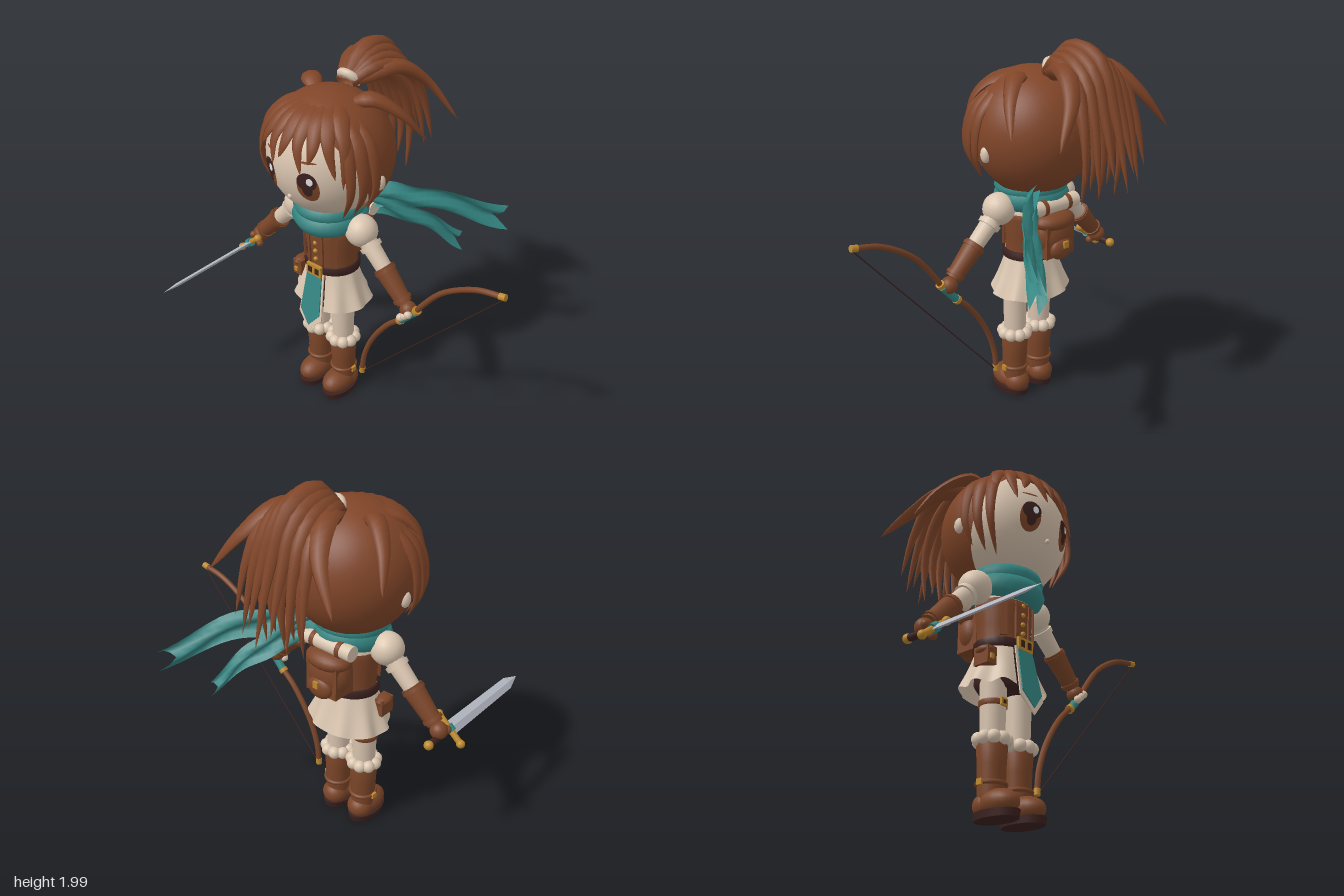
import * as THREE from 'three';

const V = (x, y, z) => new THREE.Vector3(x, y, z);
const mat = (name, color, double) => {
  const m = new THREE.MeshStandardMaterial({ color });
  m.name = name;
  if (double) m.side = THREE.DoubleSide;
  return m;
};

export function createModel() {
  const hair = mat('hair brown', 0x804528, true), leather = mat('leather brown', 0x7b4528);
  const skin = mat('skin', 0xd8c3ae), cream = mat('cream cloth', 0xdac6b0, true);
  const teal = mat('teal cloth', 0x348683, true), gold = mat('gold', 0xbd882c);
  const steel = mat('steel', 0xb4b8c2), dark = mat('dark brown', 0x3b211f), white = mat('white', 0xf4f4f8);

  const root = new THREE.Group();
  root.name = 'archer';
  const body = new THREE.Group();
  body.name = 'figure';
  body.position.x = -0.23;
  root.add(body);

  const add = (name, geo, m, p = [0, 0, 0], parent = body) => {
    const mesh = new THREE.Mesh(geo, m);
    mesh.name = name;
    mesh.position.set(...p);
    parent.add(mesh);
    return mesh;
  };
  const ball = (name, r, m, p, s = [1, 1, 1], parent = body) => {
    const b = add(name, new THREE.SphereGeometry(r, 20, 14), m, p, parent);
    b.scale.set(...s);
    return b;
  };
  const box = (name, s, m, p, parent = body) => add(name, new THREE.BoxGeometry(...s), m, p, parent);
  const lathe = (name, pts, m, p, parent) =>
    add(name, new THREE.LatheGeometry(pts.map(q => new THREE.Vector2(...q)), 28), m, p, parent);
  const ring = (name, r, t, m, p, parent) =>
    add(name, new THREE.TorusGeometry(r, t, 8, 28).rotateX(Math.PI / 2), m, p, parent);
  // tapered cylinder from a to b
  const limb = (name, a, b, r0, r1, m, parent = body, sides = 16) => {
    const d = b.clone().sub(a);
    const c = add(name, new THREE.CylinderGeometry(r1, r0, d.length(), sides), m, a.clone().lerp(b, 0.5).toArray(), parent);
    c.quaternion.setFromUnitVectors(V(0, 1, 0), d.normalize());
    return c;
  };

  // ---------- head ----------
  const C = V(0, 1.5, 0), R = 0.315;
  ball('head', R, skin, C.toArray()).geometry = new THREE.SphereGeometry(R, 40, 28);
  const onHead = (az, el, r) => {
    const a = az * Math.PI / 180, e = el * Math.PI / 180;
    return V(Math.sin(a) * Math.cos(e) * r, C.y + Math.sin(e) * r, Math.cos(a) * Math.cos(e) * r);
  };
  // thin painted ellipse wrapped on the face
  const patch = (name, x, y, rx, ry, m, lift) => {
    const g = new THREE.RingGeometry(0, 1, 28, 4), q = g.attributes.position;
    for (let i = 0; i < q.count; i++) {
      const px = x + q.getX(i) * rx, py = y + q.getY(i) * ry;
      q.setXYZ(i, px, C.y + py, Math.sqrt(R * R - px * px - py * py) + lift);
    }
    g.computeVertexNormals();
    add(name, g, m);
  };
  for (const s of [-1, 1]) {
    patch('eyeIris', s * 0.122, -0.045, 0.052, 0.08, leather, 0.003);
    patch('eyeUpper', s * 0.12, -0.012, 0.047, 0.048, dark, 0.005);
    patch('eyePupil', s * 0.12, -0.055, 0.024, 0.04, dark, 0.005);
    patch('eyeHighlight', s * 0.12 + 0.016, -0.008, 0.015, 0.02, white, 0.007);
    patch('eyebrow', s * 0.12, 0.085, 0.04, 0.006, hair, 0.004);
    ball('ear', 0.035, skin, [s * 0.318, 1.43, -0.01], [0.7, 1.2, 0.8]);
  }
  ball('nose', 0.013, skin, [0, 1.365, 0.287]);
  const cap = new THREE.SphereGeometry(0.33, 44, 28, 0, Math.PI * 2, 0, 1.89);
  add('hairCap', cap.rotateX(-65 * Math.PI / 180), hair, C.toArray());

  // tapered lock of hair with an oval section, flat side facing away from the head
  const lock = (name, pts, w, thick, start = 0.6) => {
    const curve = new THREE.CatmullRomCurve3(pts), N = 14, M = 8, pos = [], idx = [];
    for (let i = 0; i <= N; i++) {
      const t = i / N, p = curve.getPoint(t), T = curve.getTangent(t);
      const O = p.clone().sub(C);
      O.addScaledVector(T, -O.dot(T)).normalize();
      const B = O.clone().cross(T);
      const f = Math.min(1, start + t * 2) * Math.pow(1 - t, 0.65);
      for (let j = 0; j <= M; j++) {
        const a = j / M * Math.PI * 2;
        const v = p.clone().addScaledVector(B, Math.cos(a) * w * f).addScaledVector(O, Math.sin(a) * thick * f);
        pos.push(v.x, v.y, v.z);
        if (i < N && j < M) {
          const k = i * (M + 1) + j, n = k + M + 1;
          idx.push(k, k + 1, n + 1, k, n + 1, n);
        }
      }
    }
    const g = new THREE.BufferGeometry();
    g.setAttribute('position', new THREE.Float32BufferAttribute(pos, 3));
    g.setIndex(idx);
    g.computeVertexNormals();
    return add(name, g, hair);
  };
  // fringe
  const tips = [-4, 4, 16, 7, 15, 6, 15, 3, -6];
  tips.forEach((el, i) => {
    const az = (i - 4) * 14;
    lock('fringeLock', [onHead(az * 1.2, 66, 0.315), onHead(az, 46, 0.335), onHead(az, 28, 0.345), onHead(az + (i % 2 ? 5 : -3), el, 0.345)], 0.056, 0.025);
  });
  for (const s of [-1, 1]) {
    // locks framing the face
    for (const [az, el, w] of [[59, -44, 0.042], [70, -40, 0.05], [82, -34, 0.045]])
      lock('sideLock', [onHead(s * az, 50, 0.315), onHead(s * az, 20, 0.335), onHead(s * az, -12, 0.35), onHead(s * (az - 3), el, 0.355)], w, 0.025);
    // tufts standing out from the crown
    lock('crownTuft', [V(s * 0.12, 1.78, -0.04), V(s * 0.2, 1.8, -0.09), V(s * 0.31, 1.72, -0.18), V(s * 0.39, 1.57, -0.28)], 0.065, 0.04, 0.5);
    // flared side strands of the ponytail
    lock('ponytailSide', [V(s * 0.03, 1.82, -0.17), V(s * 0.13, 1.86, -0.36), V(s * 0.22, 1.76, -0.49), V(s * 0.36, 1.57, -0.57)], 0.08, 0.05);
  }
  // ponytail, two layers of strands: outer arc and inner fall
  for (let k = -3; k <= 3; k++) {
    const f = k / 3, a = Math.abs(f), alt = k % 2 ? 0.07 : 0;
    lock('ponytailOuter', [V(f * 0.02, 1.82, -0.13), V(f * 0.08, 1.95 - a * 0.07, -0.27), V(f * 0.14, 1.91 - a * 0.1, -0.44),
      V(f * 0.17, 1.66, -0.56 + a * 0.04), V(f * 0.2, 1.33 + alt, -0.655 + a * 0.08)], 0.062, 0.05);
    if (a < 1) lock('ponytailInner', [V(f * 0.02, 1.8, -0.16), V(f * 0.09, 1.87, -0.28), V(f * 0.15, 1.75, -0.41),
      V(f * 0.17, 1.5, -0.49), V(f * 0.17, 1.24 + alt, -0.47)], 0.055, 0.045);
  }
  const tie = add('hairTie', new THREE.TorusGeometry(0.045, 0.022, 8, 20), cream, [0, 1.835, -0.15]);
  tie.rotation.x = 0.75;

  // ---------- torso ----------
  lathe('vest', [[0.145, 0.8], [0.14, 0.86], [0.145, 0.95], [0.155, 1.05], [0.15, 1.1], [0.1, 1.15]], leather).scale.z = 0.85;
  lathe('shirtTop', [[0.155, 1.08], [0.15, 1.13], [0.09, 1.18], [0.07, 1.25]], cream).scale.z = 0.85;
  for (const s of [-1, 1]) {
    box('vestPanel', [0.012, 0.2, 0.012], leather, [s * 0.045, 0.97, 0.125]);
    box('vestStrap', [0.035, 0.22, 0.012], leather, [s * 0.105, 0.99, 0.098]).rotation.y = s * 0.7;
  }
  for (let i = 0; i < 4; i++) ball('button', 0.012, gold, [0, 0.91 + i * 0.05, 0.128]);
  lathe('belt', [[0.145, 0.825], [0.158, 0.83], [0.158, 0.868], [0.145, 0.873]], dark).scale.z = 0.88;
  box('buckle', [0.1, 0.065, 0.018], gold, [0, 0.845, 0.14]);
  for (const s of [-1, 1]) box('buckleGap', [0.026, 0.035, 0.006], dark, [s * 0.024, 0.845, 0.149]);

  // flared skirt, open at the front, with soft pleats
  const skirt = new THREE.LatheGeometry([[0.145, 0.835], [0.165, 0.77], [0.19, 0.7], [0.222, 0.625]].map(q => new THREE.Vector2(...q)), 72, 0.38, Math.PI * 2 - 0.76);
  const sp = skirt.attributes.position;
  for (let i = 0; i < sp.count; i++) {
    const x = sp.getX(i), z = sp.getZ(i), h = (0.835 - sp.getY(i)) / 0.21, k = 1 + 0.05 * h * Math.cos(9 * Math.atan2(x, z));
    sp.setXYZ(i, x * k, sp.getY(i) + 0.008 * h * Math.cos(9 * Math.atan2(x, z)), z * k * 0.84);
  }
  skirt.computeVertexNormals();
  add('skirt', skirt, cream);
  lathe('shorts', [[0.001, 0.62], [0.13, 0.625], [0.155, 0.66], [0.14, 0.81]], dark).scale.z = 0.8;
  // pointed front cloth
  const tabard = (name, w, len, m, z) => {
    const sh = new THREE.Shape([[-w * 0.75, 0], [-w, -len * 0.75], [0, -len], [w, -len * 0.75], [w * 0.75, 0]].map(q => new THREE.Vector2(...q)));
    add(name, new THREE.ExtrudeGeometry(sh, { depth: 0.006, bevelEnabled: false }), m, [0, 0.83, z]).rotation.x = -0.2;
  };
  tabard('tabardLining', 0.08, 0.36, cream, 0.128);
  tabard('tabard', 0.067, 0.325, teal, 0.136);

  // hip pouch
  box('hipPouch', [0.06, 0.09, 0.09], leather, [-0.175, 0.755, 0.05]);
  ball('hipPouchFlap', 0.05, leather, [-0.18, 0.785, 0.05], [0.75, 0.5, 1.05]);
  box('hipPouchClasp', [0.022, 0.025, 0.012], gold, [-0.18, 0.745, 0.098]);

  // ---------- backpack ----------
  ball('backpack', 0.12, leather, [0, 0.98, -0.165], [1, 1.05, 0.68]);
  box('backpackCore', [0.19, 0.19, 0.13], leather, [0, 0.97, -0.16]);
  ball('backpackFlap', 0.12, leather, [0, 1.06, -0.17], [1.05, 0.45, 0.72]);
  ball('backpackPocket', 0.07, leather, [0, 0.92, -0.23], [1.05, 0.85, 0.5]);
  box('backpackClasp', [0.03, 0.035, 0.012], gold, [0, 0.95, -0.264]);
  limb('bedroll', V(-0.15, 1.14, -0.17), V(0.15, 1.14, -0.17), 0.04, 0.04, cream);
  for (const s of [-1, 1]) limb('bedrollStrap', V(s * 0.08 - 0.012, 1.14, -0.17), V(s * 0.08 + 0.012, 1.14, -0.17), 0.044, 0.044, leather);

  // ---------- scarf ----------
  const coil = (name, r, t, y, tilt) => {
    const c = ring(name, r, t, teal, [0, y, 0.005]);
    c.scale.set(1, 1.05, 0.98);
    c.rotation.x = tilt;
  };
  coil('scarfLower', 0.143, 0.06, 1.155, 0.1);
  coil('scarfUpper', 0.145, 0.05, 1.215, 0.04);
  const ribbon = (name, pts, w0, w1) => {
    const curve = new THREE.CatmullRomCurve3(pts), g = new THREE.PlaneGeometry(2, 2, 18, 6), q = g.attributes.position;
    for (let i = 0; i < q.count; i++) {
      const v = q.getY(i), u = (q.getX(i) + 1) / 2, t = u - 0.1 * (1 - Math.abs(v)) * u * u;
      const p = curve.getPoint(t), w = w0 + (w1 - w0) * t, fold = 0.018 * Math.sin(v * 4 + t * 6);
      q.setXYZ(i, p.x + fold, p.y + v * w + 0.012 * Math.sin(t * 12), p.z + fold);
    }
    g.computeVertexNormals();
    add(name, g, teal, [0, 0, 0], root);
  };
  ribbon('scarfTailUpper', [V(-0.12, 1.2, -0.14), V(0.02, 1.215, -0.25), V(0.12, 1.2, -0.35), V(0.26, 1.12, -0.52), V(0.4, 1.03, -0.71)], 0.07, 0.065);
  ribbon('scarfTailLower', [V(-0.13, 1.18, -0.14), V(0.01, 1.12, -0.27), V(0.11, 1.01, -0.42), V(0.21, 0.87, -0.57)], 0.07, 0.05);

  // ---------- arms and legs ----------
  for (const s of [-1, 1]) {
    ball('puffSleeve', 0.085, cream, [s * 0.215, 1.12, 0.01]);
    limb('upperArm', V(s * 0.24, 1.09, 0.01), V(s * 0.39, 0.94, 0.015), 0.05, 0.042, skin);
    limb('sleeveBand', V(s * 0.27, 1.06, 0.01), V(s * 0.288, 1.042, 0.01), 0.06, 0.058, cream);
    limb('bracer', V(s * 0.365, 0.965, 0.015), V(s * 0.51, 0.815, 0.02), 0.056, 0.042, leather);
    for (const t of [0.05, 0.85]) {
      const a = V(s * 0.365, 0.965, 0.015).lerp(V(s * 0.51, 0.815, 0.02), t);
      limb('bracerBand', a, a.clone().add(V(s * 0.012, -0.012, 0)), 0.06 - t * 0.011, 0.06 - t * 0.011, leather);
    }
    ball('glove', 0.045, leather, [s * 0.535, 0.785, 0.02]);
    for (let i = 0; i < 3; i++)
      ball('finger', 0.021, s > 0 ? skin : leather, [s * (0.512 + i * 0.024), 0.742 + i * 0.02, 0.055]);

    const leg = new THREE.Group();
    leg.name = s > 0 ? 'leftLeg' : 'rightLeg';
    leg.position.set(s * 0.088, 0, 0.022);
    body.add(leg);
    limb('thigh', V(0, 0.34, 0), V(0, 0.7, 0), 0.058, 0.068, skin, leg, 20);
    for (let i = 0; i < 9; i++) {
      const a = i / 9 * Math.PI * 2;
      ball('furCuff', 0.034, cream, [Math.sin(a) * 0.065, 0.372, Math.cos(a) * 0.065], [1, 1, 1], leg);
    }
    lathe('bootShaft', [[0.06, 0.06], [0.066, 0.15], [0.068, 0.25], [0.075, 0.36], [0.05, 0.37]], leather, [0, 0, 0], leg);
    ball('bootFoot', 0.075, leather, [0, 0.075, 0.045], [1, 0.85, 1.5], leg);
    ball('bootHeel', 0.07, leather, [0, 0.07, -0.02], [1, 0.9, 1], leg);
    add('bootSole', new THREE.CylinderGeometry(0.078, 0.074, 0.035, 28), dark, [0, 0.0175, 0.035], leg).scale.z = 1.62;
    ring('ankleStrap', 0.066, 0.011, leather, [0, 0.165, 0], leg);
    box('ankleBuckle', [0.014, 0.028, 0.03], gold, [s * 0.075, 0.165, 0], leg);
    if (s < 0) {
      lathe('thighStrap', [[0.06, 0.53], [0.069, 0.532], [0.069, 0.558], [0.06, 0.56]], leather, [0, 0, 0], leg);
      box('thighBuckle', [0.042, 0.038, 0.012], gold, [0, 0.545, 0.07], leg);
      box('thighBuckleGap', [0.02, 0.018, 0.004], dark, [0, 0.545, 0.076], leg);
    }
  }

  // ---------- sword ----------
  const sword = new THREE.Group();
  sword.name = 'sword';
  sword.position.set(-0.775, 0.755, 0.1);
  sword.rotation.z = 0.7;
  root.add(sword);
  const blade = new THREE.LatheGeometry([[0, 0], [0.037, 0], [0.032, 0.53], [0, 0.62]].map(q => new THREE.Vector2(...q)), 4).toNonIndexed();
  blade.scale(1, 1, 0.3).rotateX(Math.PI / 2).computeVertexNormals();
  add('blade', blade, steel, [0, 0, 0], sword);
  limb('grip', V(0, 0, 0), V(0, 0, -0.16), 0.018, 0.018, dark, sword);
  ball('pommel', 0.024, gold, [0, 0, -0.175], [1, 1, 1], sword);
  limb('guard', V(-0.09, 0, 0), V(0.09, 0, 0), 0.016, 0.016, gold, sword);
  for (const s of [-1, 1]) ball('guardEnd', 0.022, gold, [s * 0.09, 0, 0], [1, 1, 1], sword);
  limb('guardGem', V(-0.018, 0, 0), V(0.018, 0, 0), 0.025, 0.025, teal, sword);

  // ---------- bow ----------
  const bow = new THREE.Group();
  bow.name = 'bow';
  bow.position.z = 0.02;
  root.add(bow);
  const arc = [[0.855, 1.135], [0.695, 1.1], [0.51, 0.99], [0.39, 0.85], [0.35, 0.79], [0.285, 0.715], [0.18, 0.62], [0.07, 0.46], [0.012, 0.31], [-0.005, 0.18]];
  const bowCurve = new THREE.CatmullRomCurve3(arc.map(q => V(q[0], q[1], 0)));
  add('bowLimbs', new THREE.TubeGeometry(bowCurve, 60, 0.015, 8), leather, [0, 0, 0], bow);
  const wrap = (name, t0, t1, r, m) => limb(name, bowCurve.getPointAt(t0), bowCurve.getPointAt(t1), r, r, m, bow);
  wrap('bowTip', 0, 0.025, 0.017, gold);
  wrap('bowTip', 0.975, 1, 0.017, gold);
  wrap('bowGrip', 0.47, 0.56, 0.021, teal);
  wrap('bowBand', 0.45, 0.465, 0.024, gold);
  wrap('bowBand', 0.56, 0.575, 0.024, gold);
  limb('bowString', V(0.855, 1.13, 0), V(-0.002, 0.18, 0), 0.0035, 0.0035, dark, bow, 6);

  return root;
}
